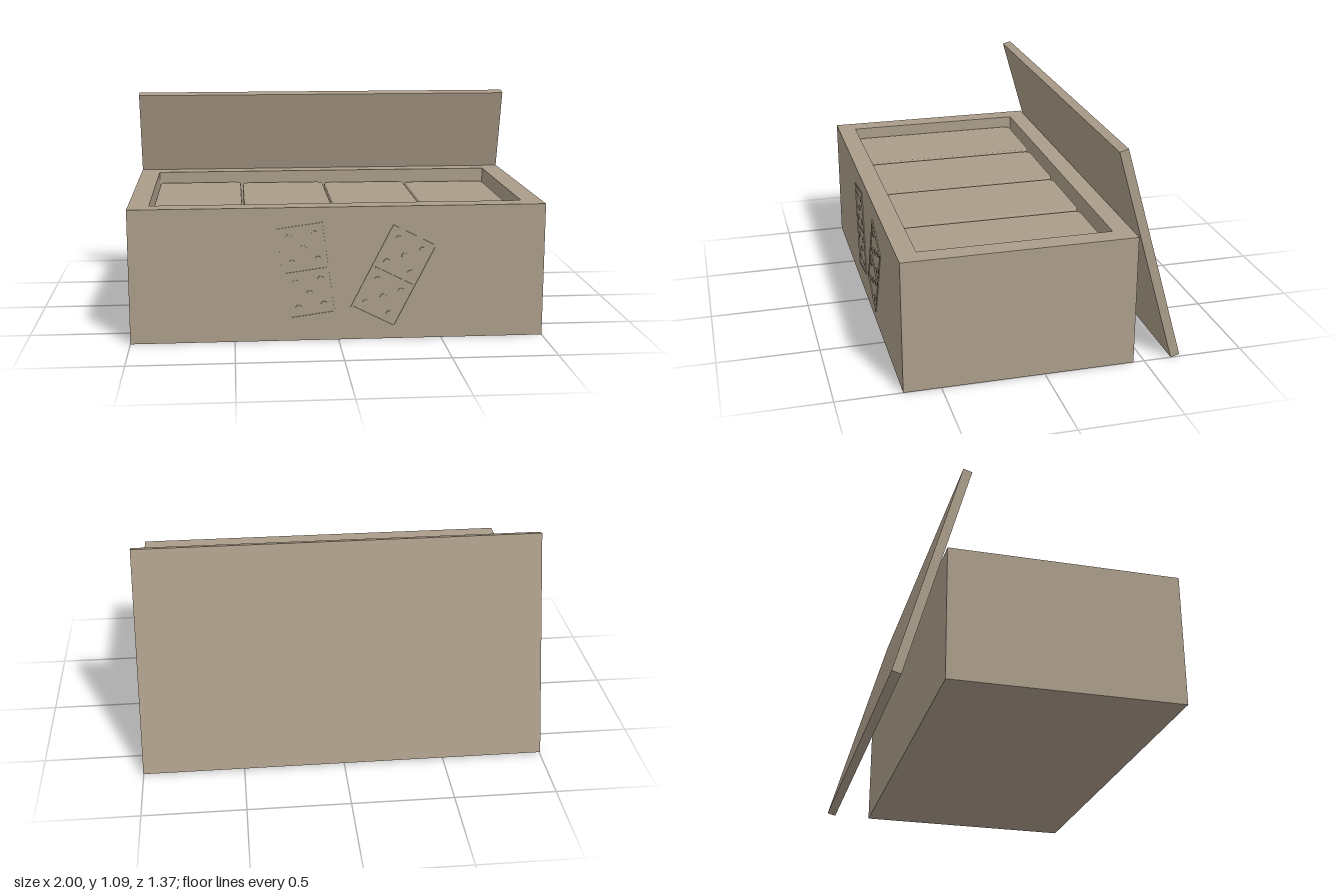
import * as THREE from 'three';

const wood = new THREE.MeshStandardMaterial({ color: 0xab9c89 });
wood.name = 'wood';

function add(parent, name, geometry, x = 0, y = 0, z = 0) {
  const mesh = new THREE.Mesh(geometry, wood);
  mesh.name = name;
  mesh.position.set(x, y, z);
  parent.add(mesh);
  return mesh;
}

function rectangle(Type, w, h, r = 0) {
  const s = new Type();
  const x = w / 2, y = h / 2;
  s.moveTo(-x + r, -y);
  s.lineTo(x - r, -y);
  if (r) s.quadraticCurveTo(x, -y, x, -y + r);
  s.lineTo(x, y - r);
  if (r) s.quadraticCurveTo(x, y, x - r, y);
  s.lineTo(-x + r, y);
  if (r) s.quadraticCurveTo(-x, y, -x, y - r);
  s.lineTo(-x, -y + r);
  if (r) s.quadraticCurveTo(-x, -y, -x + r, -y);
  return s;
}

// Thin domino outline with a divider and five pips on each half
function dominoMark(name, x, y, angle, w, h) {
  const mark = new THREE.Group();
  mark.name = name;
  const line = 0.008, depth = 0.005;
  const outline = rectangle(THREE.Shape, w, h);
  outline.holes.push(rectangle(THREE.Path, w - 2 * line, h - 2 * line));
  add(mark, 'outline', new THREE.ExtrudeGeometry(outline, { depth, bevelEnabled: false }));
  add(mark, 'divider', new THREE.BoxGeometry(w * 0.85, line, depth), 0, 0, depth / 2);
  const pip = new THREE.CylinderGeometry(0.015, 0.015, depth, 16).rotateX(Math.PI / 2);
  for (const half of [-1, 1]) {
    for (const [px, py] of [[-1, -1], [1, -1], [0, 0], [-1, 1], [1, 1]]) {
      add(mark, 'pip', pip, px * w * 0.27, half * h * 0.25 + py * h * 0.14, depth / 2);
    }
  }
  mark.position.set(x, y, 0.68);
  mark.rotation.z = angle;
  return mark;
}

export function createModel() {
  const model = new THREE.Group();
  model.name = 'dominoBox';

  // Open box: walls around a cavity, then a solid base
  const boxDepth = 1.125, boxZ = 0.1175, height = 0.655, floor = 0.48;
  const walls = rectangle(THREE.Shape, 2, boxDepth);
  walls.holes.push(rectangle(THREE.Path, 1.8, boxDepth - 0.19));
  const wallGeometry = new THREE.ExtrudeGeometry(walls, { depth: height - floor, bevelEnabled: false });
  add(model, 'boxWalls', wallGeometry.rotateX(-Math.PI / 2), 0, floor, boxZ);
  add(model, 'boxBase', new THREE.BoxGeometry(2, floor, boxDepth), 0, floor / 2, boxZ);

  // Row of four rounded tiles lying in the cavity
  const bevel = 0.008;
  const tileGeometry = new THREE.ExtrudeGeometry(rectangle(THREE.Shape, 0.44 - 2 * bevel, 0.91 - 2 * bevel, 0.03), {
    depth: 0.1 - bevel, bevelEnabled: true, bevelThickness: bevel, bevelSize: bevel, bevelSegments: 3, curveSegments: 6,
  });
  tileGeometry.rotateX(-Math.PI / 2);
  for (let i = 0; i < 4; i++) {
    add(model, 'tile', tileGeometry, -0.675 + i * 0.45, 0.498 - i * 0.004, 0.117);
  }

  // Lid leaning against the back
  const lid = add(model, 'lid', new THREE.BoxGeometry(2, 1.124, 0.045), 0, 0.547, -0.506);
  lid.rotation.x = 0.276;

  // Marks on the front
  model.add(dominoMark('leftMark', -0.155, 0.345, 0.135, 0.23, 0.45));
  model.add(dominoMark('rightMark', 0.267, 0.31, -0.47, 0.24, 0.45));
  return model;
}
